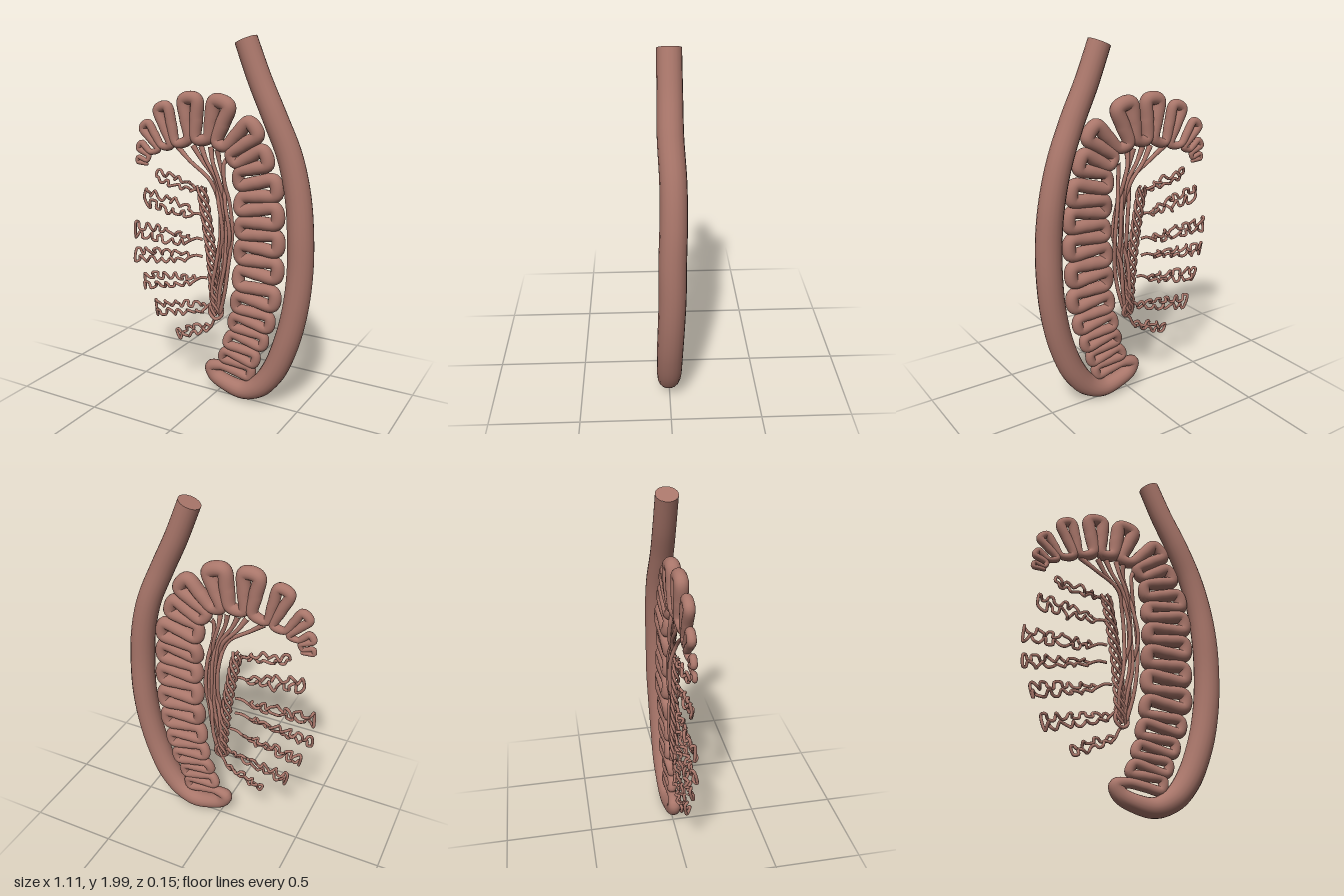
import * as THREE from 'three';

const material = new THREE.MeshStandardMaterial({ color: 0xa9766a });
const V = (x, y, z = 0) => new THREE.Vector3(x, y, z);

// Tube through [x, y, z, radius] points, with the radius blended between points
function taperedTube(name, pts, segments, sides) {
  const curve = new THREE.CatmullRomCurve3(pts.map(p => V(p[0], p[1], p[2])), false, 'centripetal');
  curve.arcLengthDivisions = pts.length * 20;
  const geo = new THREE.TubeGeometry(curve, segments, 1, sides);
  const { position, normal } = geo.attributes;
  for (let i = 0; i <= segments; i++) {
    const u = i / segments, c = curve.getPointAt(u);
    const t = curve.getUtoTmapping(u) * (pts.length - 1);
    const k = Math.min(Math.floor(t), pts.length - 2);
    const r = THREE.MathUtils.lerp(pts[k][3], pts[k + 1][3], t - k);
    for (let j = 0; j <= sides; j++) {
      const n = i * (sides + 1) + j;
      position.setXYZ(n, c.x + normal.getX(n) * r, c.y + normal.getY(n) * r, c.z + normal.getZ(n) * r);
    }
  }
  geo.computeBoundingSphere();
  const mesh = new THREE.Mesh(geo, material);
  mesh.name = name;
  return { mesh, curve };
}

function seeded(seed) {
  return () => (seed = (seed * 16807) % 2147483647) / 2147483647;
}

// Thick straight duct from its cut top end down to the bend at the tail
const duct = [
  [0.165, 1.975, 0, 0.06], [0.245, 1.78, 0, 0.062], [0.33, 1.6, 0, 0.064], [0.415, 1.4, -0.01, 0.066],
  [0.465, 1.2, -0.01, 0.068], [0.487, 1.0, -0.005, 0.07], [0.49, 0.8, -0.005, 0.07], [0.472, 0.6, 0, 0.07],
  [0.428, 0.4, 0.005, 0.07], [0.355, 0.215, 0.005, 0.068], [0.27, 0.105, 0.005, 0.062],
  [0.17, 0.056, 0, 0.053], [0.06, 0.072, 0, 0.047], [-0.015, 0.108, 0, 0.043], [-0.036, 0.152, 0, 0.038],
];

// Folds of the coil from tail to head: inner x, y, outer x, y, fold width
const folds = [
  [0.0, 0.2, 0.25, 0.165, 0.11], [0.03, 0.3, 0.28, 0.25, 0.11], [0.06, 0.405, 0.325, 0.36, 0.115],
  [0.08, 0.52, 0.365, 0.48, 0.125], [0.095, 0.65, 0.4, 0.625, 0.145], [0.1, 0.795, 0.41, 0.785, 0.15],
  [0.105, 0.935, 0.415, 0.94, 0.15], [0.105, 1.06, 0.41, 1.095, 0.15], [0.1, 1.19, 0.395, 1.245, 0.15],
  [0.08, 1.305, 0.335, 1.41, 0.15], [0.03, 1.38, 0.26, 1.57, 0.155], [-0.045, 1.41, 0.04, 1.71, 0.165],
  [-0.15, 1.41, -0.17, 1.72, 0.15], [-0.26, 1.385, -0.355, 1.655, 0.12], [-0.35, 1.37, -0.485, 1.535, 0.095],
  [-0.415, 1.34, -0.52, 1.41, 0.075], [-0.435, 1.3, -0.53, 1.32, 0.055],
];

function coilPoints() {
  const pts = [];
  folds.forEach(([ix, iy, ox, oy, w], k) => {
    const inner = V(ix, iy), outer = V(ox, oy);
    const d = outer.clone().sub(inner).normalize();
    const p = V(-d.y, d.x);
    inner.addScaledVector(d, w * 0.3);
    outer.addScaledVector(d, -w * 0.38);
    const narrow = k > 8 ? 0.68 : 0.95;
    const r = w * 0.245, z = 0.006 * Math.sin(k * 2.1);
    const add = (base, side, s, rr) => {
      const q = base.clone().addScaledVector(p, side * w * 0.25 * s);
      pts.push([q.x, q.y, z, rr]);
    };
    const rIn = k > 8 ? r * 0.85 : r;
    const mid = inner.clone().lerp(outer, 0.5);
    add(inner, -1, narrow, rIn);
    add(mid, -1, (narrow + 1) / 2, r);
    add(outer, -1, 1, r);
    add(outer, 1, 1, r);
    add(mid, 1, (narrow + 1) / 2, r);
    add(inner, 1, narrow, rIn);
  });
  return pts;
}

// Tangled lobules: root x, y, tip x, y, width
const lobules = [
  [-0.13, 1.18, -0.39, 1.235, 0.075], [-0.15, 1.04, -0.48, 1.105, 0.11], [-0.17, 0.885, -0.545, 0.9, 0.1],
  [-0.18, 0.785, -0.545, 0.745, 0.085], [-0.14, 0.655, -0.49, 0.595, 0.095],
  [-0.07, 0.505, -0.42, 0.435, 0.095], [-0.04, 0.395, -0.265, 0.305, 0.065],
];
// Where each lobule's stem joins the net
const joints = [[-0.1, 1.12], [-0.08, 1.03], [-0.09, 0.9], [-0.09, 0.8], [-0.06, 0.68], [-0.01, 0.54], [0.0, 0.46]];

function lobule([rx, ry, tx, ty, w], index) {
  const rand = seeded(4211 + index * 977);
  const root = V(rx, ry), axis = V(tx - rx, ty - ry);
  const p = V(-axis.y, axis.x).normalize();
  const r = 0.0085, n = Math.round(axis.length() / 0.017);
  const [jx, jy] = joints[index];
  const pts = [[jx, jy, 0, r], [(jx + rx) / 2, (jy + ry) / 2 + 0.01, 0, r], [rx, ry, 0, r]];
  // Out along one side and back along the other, with small loops
  for (const side of [1, -1]) {
    for (let i = 1; i <= n; i++) {
      const f = side > 0 ? i / n : 1 - (i - 1) / n;
      const wave = [0.1, 0.42, 0.4, 0.14][i % 4] + (rand() - 0.5) * 0.16;
      const along = Math.min(0.99, Math.max(0.06, f + (rand() - 0.5) * 0.07));
      const q = root.clone().addScaledVector(axis, along).addScaledVector(p, side * w * wave * Math.min(1, 0.5 + f));
      pts.push([q.x, q.y, side * 0.008 + (rand() - 0.5) * 0.026, r]);
    }
  }
  pts.push([rx, ry, 0, r]);
  return taperedTube('lobule' + (index + 1), pts, pts.length * 6, 7).mesh;
}

export function createModel() {
  const model = new THREE.Group();

  // Duct and coil form one continuous tube
  const path = [...duct, ...coilPoints()];
  const main = taperedTube('ductAndCoil', path, 1500, 18);
  model.add(main.mesh);

  // Flat cut end of the duct
  const cut = new THREE.Mesh(new THREE.CircleGeometry(duct[0][3], 24), material);
  cut.name = 'ductCutEnd';
  cut.position.copy(main.curve.getPointAt(0));
  cut.quaternion.setFromUnitVectors(V(0, 0, 1), main.curve.getTangentAt(0).negate());
  model.add(cut);

  // Rounded head end of the coil
  const last = path[path.length - 1];
  const tip = new THREE.Mesh(new THREE.SphereGeometry(last[3], 14, 10), material);
  tip.name = 'coilTip';
  tip.position.set(last[0], last[1], last[2]);
  model.add(tip);

  // Fine ducts running from the head folds down to the net
  const ducts = new THREE.Group();
  ducts.name = 'connectingDucts';
  const starts = [[-0.25, 1.41], [-0.15, 1.42], [-0.1, 1.42], [-0.04, 1.42], [0.0, 1.41], [0.06, 1.36]];
  starts.forEach(([x, y], i) => {
    const f = i / 5, z = 0.014 * Math.cos(i * 2.4), r = 0.011;
    const bend = 0.012 * Math.sin(i * 1.9);
    ducts.add(taperedTube('connectingDuct' + (i + 1), [
      [x, y, 0, 0.016], [x * 0.62 - 0.01 + f * 0.02, 1.34, z, r], [-0.035 + f * 0.085, 1.24, z, r],
      [0.0 + f * 0.07, 1.12, -z, r], [0.012 + f * 0.075 + bend, 0.95, -z, r],
      [0.0 + f * 0.075 - bend, 0.78, z, r], [-0.025 + f * 0.08, 0.63, z, r], [-0.02 + f * 0.04, 0.49, 0, r],
    ], 70, 8).mesh);
  });
  model.add(ducts);

  // Net of crossing strands beside the lobules
  const net = new THREE.Group();
  net.name = 'net';
  for (let s = 0; s < 4; s++) {
    const pts = [];
    for (let i = 0; i <= 18; i++) {
      const f = i / 18, phase = i * 1.15 + s * Math.PI / 2;
      pts.push([-0.1 + 0.09 * f + 0.027 * Math.sin(phase) + 0.015 * Math.sin(f * Math.PI),
        1.2 - 0.73 * f, 0.016 * Math.cos(phase), 0.0085]);
    }
    net.add(taperedTube('netStrand' + (s + 1), pts, 110, 7).mesh);
  }
  // Loop closing the lower end of the net
  net.add(taperedTube('netLoop', [[-0.03, 0.55, 0, 0.01], [-0.045, 0.49, 0.01, 0.01], [-0.01, 0.45, 0.01, 0.01],
    [0.025, 0.47, 0, 0.01], [0.02, 0.53, -0.01, 0.01], [-0.02, 0.57, 0, 0.01]], 40, 8).mesh);
  model.add(net);

  const tangles = new THREE.Group();
  tangles.name = 'lobules';
  lobules.forEach((l, i) => tangles.add(lobule(l, i)));
  model.add(tangles);
  return model;
}
